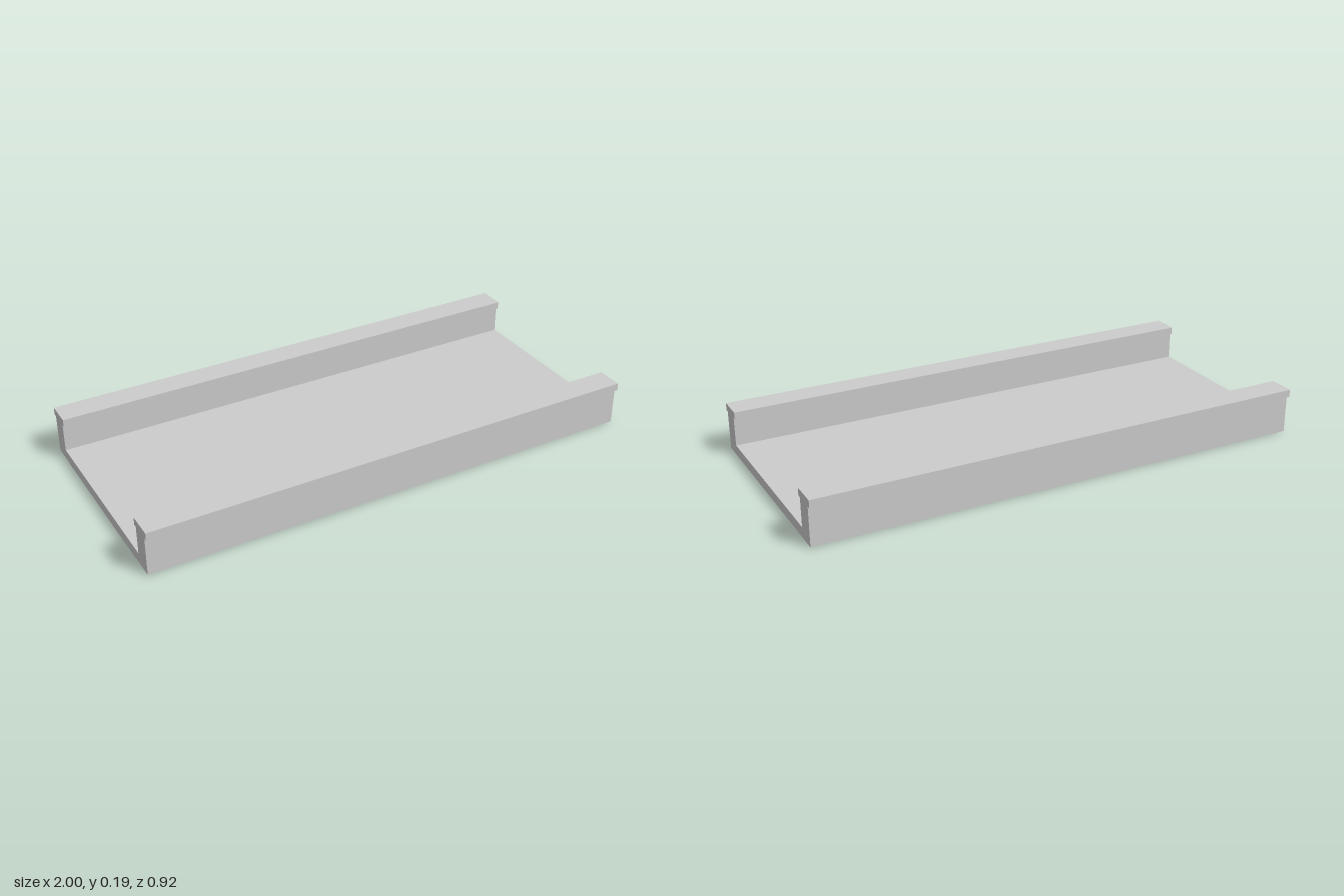
import * as THREE from 'three';

export function createModel() {
  const group = new THREE.Group();
  const material = new THREE.MeshStandardMaterial({ color: 0xcccccc, flatShading: true });

  // Channel cross-section: half outline as [z, y], mirrored for the other side
  const half = [
    [0.444, 0.003], [0.444, 0.157], [0.459, 0.157], [0.459, 0.187],
    [0.355, 0.187], [0.355, 0.157], [0.369, 0.157], [0.369, 0.044],
  ];
  const mirrored = half.map(([z, y]) => [-z, y]).reverse();
  const outline = [...half, ...mirrored].map(([z, y]) => new THREE.Vector2(z, y));

  // Floor, side walls and T-shaped rails swept along the length
  const profile = new THREE.ExtrudeGeometry(new THREE.Shape(outline), { depth: 2, bevelEnabled: false });
  profile.translate(0, 0, -1).rotateY(Math.PI / 2);
  const channel = new THREE.Mesh(profile, material);
  channel.name = 'railChannel';
  group.add(channel);

  // Thin plate under the floor, flush with the left-hand x = -1 end
  const plate = new THREE.Mesh(new THREE.BoxGeometry(1.5, 0.004, 0.678), material);
  plate.position.set(-0.25, 0.002, 0);
  plate.name = 'undersidePlate';
  group.add(plate);

  return group;
}
